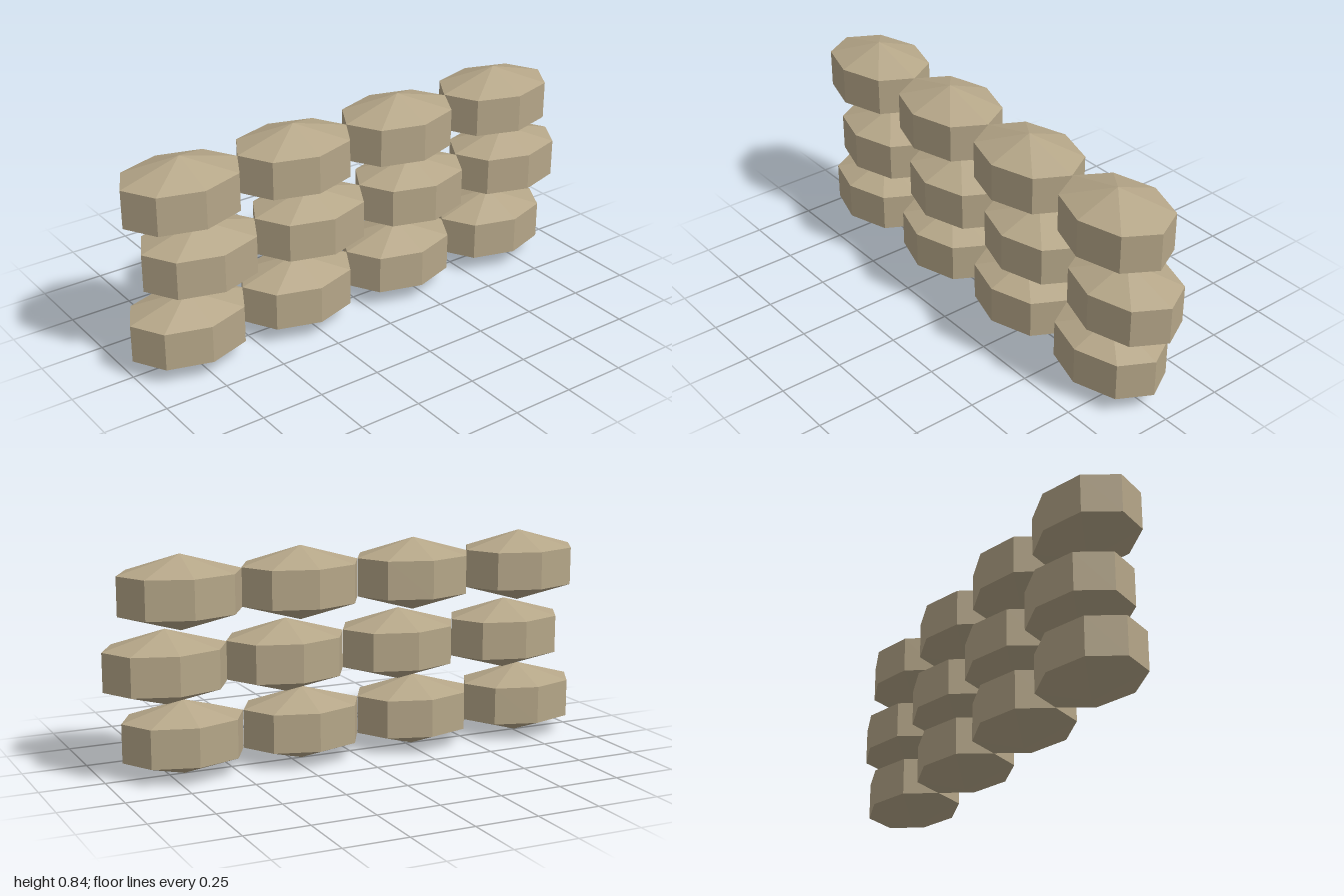
import * as THREE from 'three';

export function createModel() {
  const wall = new THREE.Group();
  wall.name = 'sandbagWall';
  const burlap = new THREE.MeshStandardMaterial({ color: 0xb5a688, flatShading: true });
  burlap.name = 'burlap';

  // One bag: eight-sided drum with pointed top and bottom, longer in x than z
  const profile = [[0, -0.144], [1, -0.075], [1, 0.075], [0, 0.144]]
    .map(([r, y]) => new THREE.Vector2(r, y));
  const bagGeometry = new THREE.LatheGeometry(profile, 8);
  bagGeometry.scale(0.241, 1, 0.179);

  // Three courses of four bags, the middle one shifted; each bag is turned slightly
  const courses = [
    { name: 'bottom', x: -0.758, y: 0.146, yaw: [0.006, -0.004, 0.01, 0.008] },
    { name: 'middle', x: -0.694, y: 0.421, yaw: [0.01, 0.005, -0.008, -0.017] },
    { name: 'top', x: -0.758, y: 0.697, yaw: [0.01, -0.01, 0.008, -0.033] },
  ];
  for (const { name, x, y, yaw } of courses) {
    const course = new THREE.Group();
    course.name = name + 'Course';
    yaw.forEach((angle, i) => {
      const bag = new THREE.Mesh(bagGeometry, burlap);
      bag.name = name + 'Sandbag' + (i + 1);
      bag.position.set(x + i * 0.483, y, 0);
      bag.rotation.y = angle;
      course.add(bag);
    });
    wall.add(course);
  }
  return wall;
}
